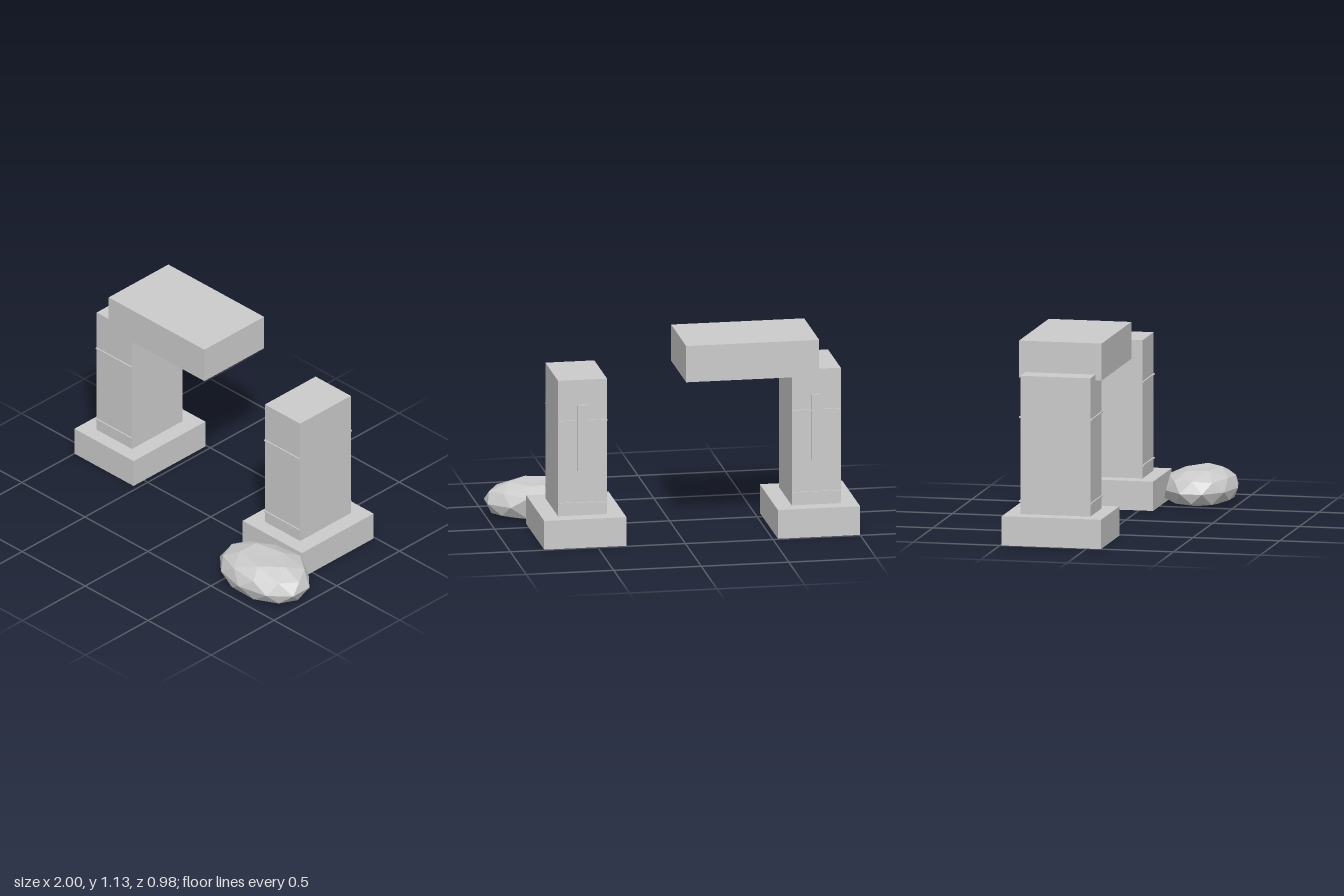
import * as THREE from 'three';

const material = new THREE.MeshStandardMaterial({ color: 0xcccccc, flatShading: true });

// Box given by its min and max corners
function box(name, [x0, y0, z0], [x1, y1, z1]) {
  const mesh = new THREE.Mesh(new THREE.BoxGeometry(x1 - x0, y1 - y0, z1 - z0), material);
  mesh.name = name;
  mesh.position.set((x0 + x1) / 2, (y0 + y1) / 2, (z0 + z1) / 2);
  return mesh;
}

// Plinth, shaft, raised seams front and back, and a strip on the back
function createPillar(name, x) {
  const pillar = new THREE.Group();
  pillar.name = name;
  pillar.position.x = x;
  pillar.add(
    box('plinth', [-0.235, 0, -0.49], [0.235, 0.167, 0.082]),
    box('shaft', [-0.14, 0.167, -0.404], [0.14, 0.955, 0]),
    box('backStrip', [-0.03, 0.43, -0.417], [0.03, 0.81, -0.404])
  );
  for (const y of [0.24, 0.717]) {
    pillar.add(
      box('frontSeam', [-0.14, y - 0.004, 0], [0.14, y + 0.004, 0.008]),
      box('backSeam', [-0.14, y - 0.004, -0.412], [0.14, y + 0.004, -0.404])
    );
  }
  return pillar;
}

// Faceted boulder: squashed icosphere, flattened below, on top and against the plinth
function createBoulder() {
  const geometry = new THREE.IcosahedronGeometry(1, 1);
  geometry.rotateZ(-Math.atan(2 / (1 + Math.sqrt(5))));
  const p = geometry.attributes.position;
  for (let i = 0; i < p.count; i++) {
    const x = p.getX(i), y = p.getY(i), z = p.getZ(i);
    const top = y > 0.95 ? 0.19 : 0.195 + 0.01 * z;
    p.setXYZ(
      i,
      0.708 + 0.306 * x,
      THREE.MathUtils.clamp(0.087 + 0.13 * y, 0, top),
      z < -0.84 ? 0.082 : 0.28 + 0.208 * z
    );
  }
  geometry.computeVertexNormals();
  const boulder = new THREE.Mesh(geometry, material);
  boulder.name = 'boulder';
  return boulder;
}

export function createModel() {
  const model = new THREE.Group();
  model.name = 'ruinedGate';
  model.add(
    createPillar('rightPillar', -0.765),
    createPillar('leftPillar', 0.57),
    // Broken lintel resting on one pillar
    box('lintel', [-0.775, 0.922, -0.441], [-0.015, 1.133, 0.035]),
    createBoulder()
  );
  return model;
}
